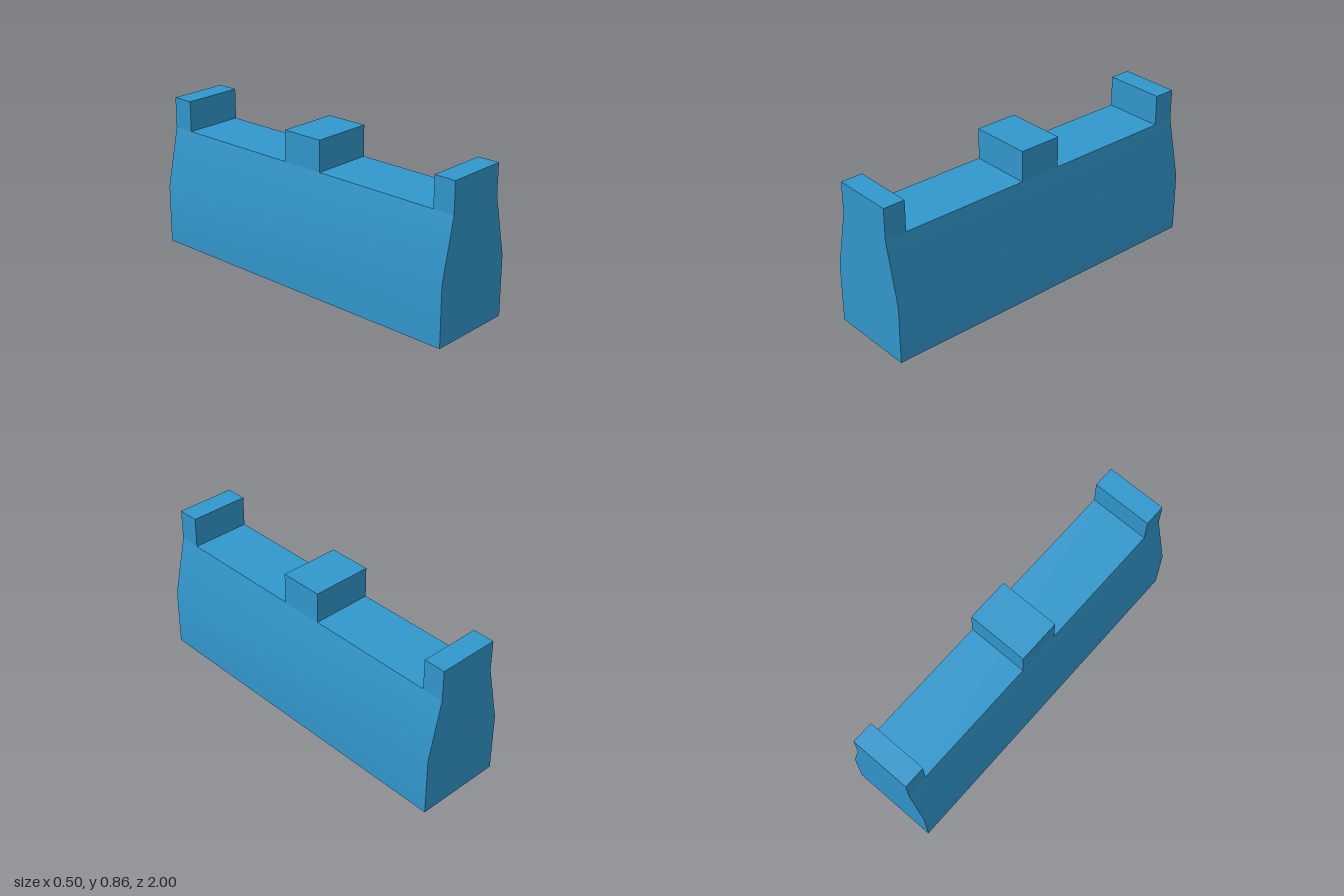
import * as THREE from 'three';
import { toCreasedNormals } from 'three/addons/utils/BufferGeometryUtils.js';

const LENGTH = 2, SHOULDER = 0.686, TOP = 0.863;
const BASE_HALF = 0.25, TOP_HALF = 0.175, BEND = 0.343;

export function createModel() {
  const group = new THREE.Group();
  group.name = 'barrier';
  const blue = new THREE.MeshStandardMaterial({ color: 0x3297cd });
  blue.name = 'blue';

  // Tapered body: cross-section extruded along z
  const profile = new THREE.Shape([
    new THREE.Vector2(-BASE_HALF, 0),
    new THREE.Vector2(BASE_HALF, 0),
    new THREE.Vector2(BASE_HALF, BEND),
    new THREE.Vector2(TOP_HALF, SHOULDER),
    new THREE.Vector2(-TOP_HALF, SHOULDER),
    new THREE.Vector2(-BASE_HALF, BEND),
  ]);
  const bodyGeometry = new THREE.ExtrudeGeometry(profile, { depth: LENGTH, bevelEnabled: false });
  bodyGeometry.translate(0, 0, -LENGTH / 2);
  // Soften the shallow bend in the sides, keep the other edges sharp
  const body = new THREE.Mesh(toCreasedNormals(bodyGeometry, 0.4), blue);
  body.name = 'body';
  group.add(body);

  // Raised blocks along the top: name, centre z, depth
  const blocks = [
    ['frontBlock', 0.9375, 0.125],
    ['middleBlock', 0, 0.25],
    ['backBlock', -0.9375, 0.125],
  ];
  for (const [name, z, depth] of blocks) {
    const height = TOP - SHOULDER;
    const block = new THREE.Mesh(new THREE.BoxGeometry(TOP_HALF * 2, height, depth), blue);
    block.position.set(0, SHOULDER + height / 2, z);
    block.name = name;
    group.add(block);
  }
  return group;
}
